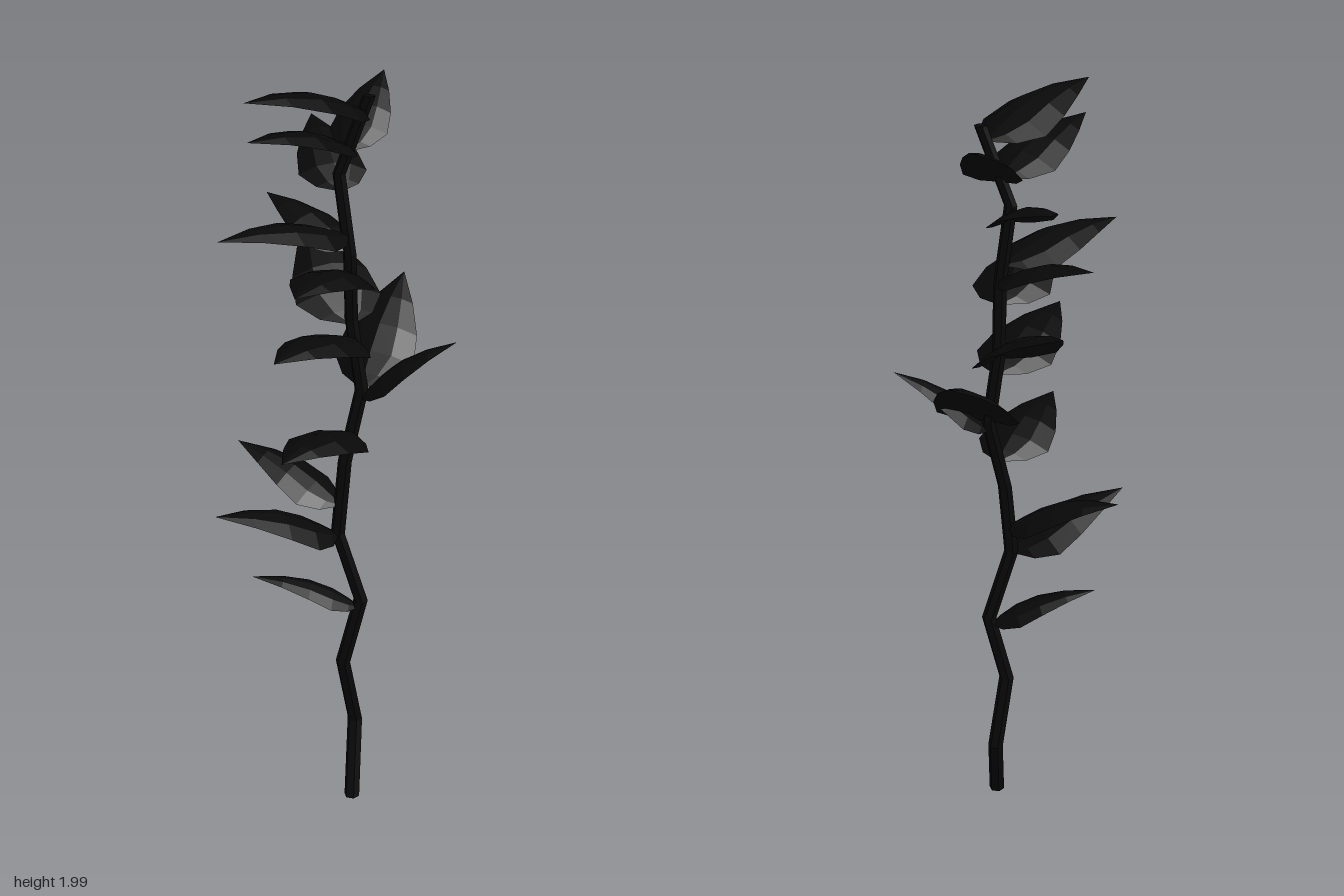
import * as THREE from 'three';

const material = new THREE.MeshStandardMaterial({ color: 0x080808, flatShading: true, side: THREE.DoubleSide });

// Zigzag centre line of the stem, from the ground up
const stemPoints = [
  [0.05, 0, 0.09], [0.075, 0.2, 0.015], [0.035, 0.4, 0.04], [0.08, 0.59, 0.05],
  [0.02, 0.79, 0.04], [0.04, 0.99, 0.03], [0.085, 1.18, 0.02], [0.06, 1.37, 0.01],
  [0.05, 1.55, 0.03], [0.025, 1.75, 0.02], [0.09, 1.945, 0.05],
].map((p) => new THREE.Vector3(...p));

// Leaves: height on the stem, tip x, y, z, half width relative to length
const leaves = [
  [0.57, -0.20, 0.66, -0.01, 0.21],
  [0.79, -0.31, 0.90, 0.095, 0.29],
  [0.87, -0.205, 0.99, -0.155, 0.28],
  [1.07, -0.175, 1.12, 0.285, 0.28],
  [1.16, 0.31, 1.32, 0.095, 0.25],
  [1.19, 0.255, 1.40, -0.22, 0.30],
  [1.32, -0.19, 1.38, 0.28, 0.28],
  [1.36, 0.015, 1.53, -0.315, 0.31],
  [1.50, -0.145, 1.55, 0.31, 0.29],
  [1.60, -0.295, 1.645, 0.15, 0.27],
  [1.56, -0.11, 1.645, -0.205, 0.28],
  [1.71, 0.02, 1.82, -0.275, 0.27],
  [1.82, -0.235, 1.90, 0.225, 0.27],
  [1.81, 0.18, 1.95, -0.165, 0.27],
  [1.91, -0.24, 1.99, 0.22, 0.28],
];

// Leaf outline: distance along the leaf, relative width
const outline = [[0, 0.08], [0.1, 0.62], [0.26, 1], [0.48, 0.88], [0.73, 0.52], [1, 0]];
const across = [-1, -0.5, 0, 0.5, 1];

function stemAt(y) {
  const i = Math.max(1, stemPoints.findIndex((p) => p.y >= y));
  const a = stemPoints[i - 1], b = stemPoints[i];
  return a.clone().lerp(b, (y - a.y) / (b.y - a.y));
}

// Stem: a six-sided tapering cylinder whose rings follow the centre line
function makeStem() {
  const n = stemPoints.length - 1;
  const geometry = new THREE.CylinderGeometry(0.016, 0.021, 1, 6, n);
  const pos = geometry.attributes.position;
  for (let i = 0; i < pos.count; i++) {
    const p = stemPoints[Math.round((pos.getY(i) + 0.5) * n)];
    pos.setXYZ(i, pos.getX(i) + p.x, p.y, pos.getZ(i) + p.z);
  }
  geometry.computeVertexNormals();
  return new THREE.Mesh(geometry, material);
}

// Leaf: pointed blade, arched along its length and drooping at its edges
function makeLeaf([baseY, x, y, z, width]) {
  const base = stemAt(baseY);
  const dir = new THREE.Vector3(x, y, z).sub(base);
  const length = dir.length();
  dir.normalize();
  const side = new THREE.Vector3().crossVectors(dir, new THREE.Vector3(0, 1, 0)).normalize();
  const up = new THREE.Vector3().crossVectors(side, dir);
  const positions = [], index = [];
  outline.forEach(([t, w], row) => {
    const half = w * width * length;
    const arch = 0.09 * length * Math.sin(Math.PI * t);
    across.forEach((s, col) => {
      const p = base.clone()
        .addScaledVector(dir, t * length)
        .addScaledVector(side, s * half)
        .addScaledVector(up, arch - 0.35 * half * s * s);
      positions.push(p.x, p.y, p.z);
      if (row && col) {
        const d = row * across.length + col, c = d - 1, b = d - across.length, a = b - 1;
        index.push(a, b, c);
        if (row < outline.length - 1) index.push(b, d, c);
      }
    });
  });
  const geometry = new THREE.BufferGeometry();
  geometry.setAttribute('position', new THREE.Float32BufferAttribute(positions, 3));
  geometry.setIndex(index);
  geometry.computeVertexNormals();
  return new THREE.Mesh(geometry, material);
}

export function createModel() {
  const model = new THREE.Group();
  model.name = 'leafyBranch';
  const stem = makeStem();
  stem.name = 'stem';
  model.add(stem);
  leaves.forEach((spec, i) => {
    const leaf = makeLeaf(spec);
    leaf.name = `leaf${i + 1}`;
    model.add(leaf);
  });
  return model;
}
